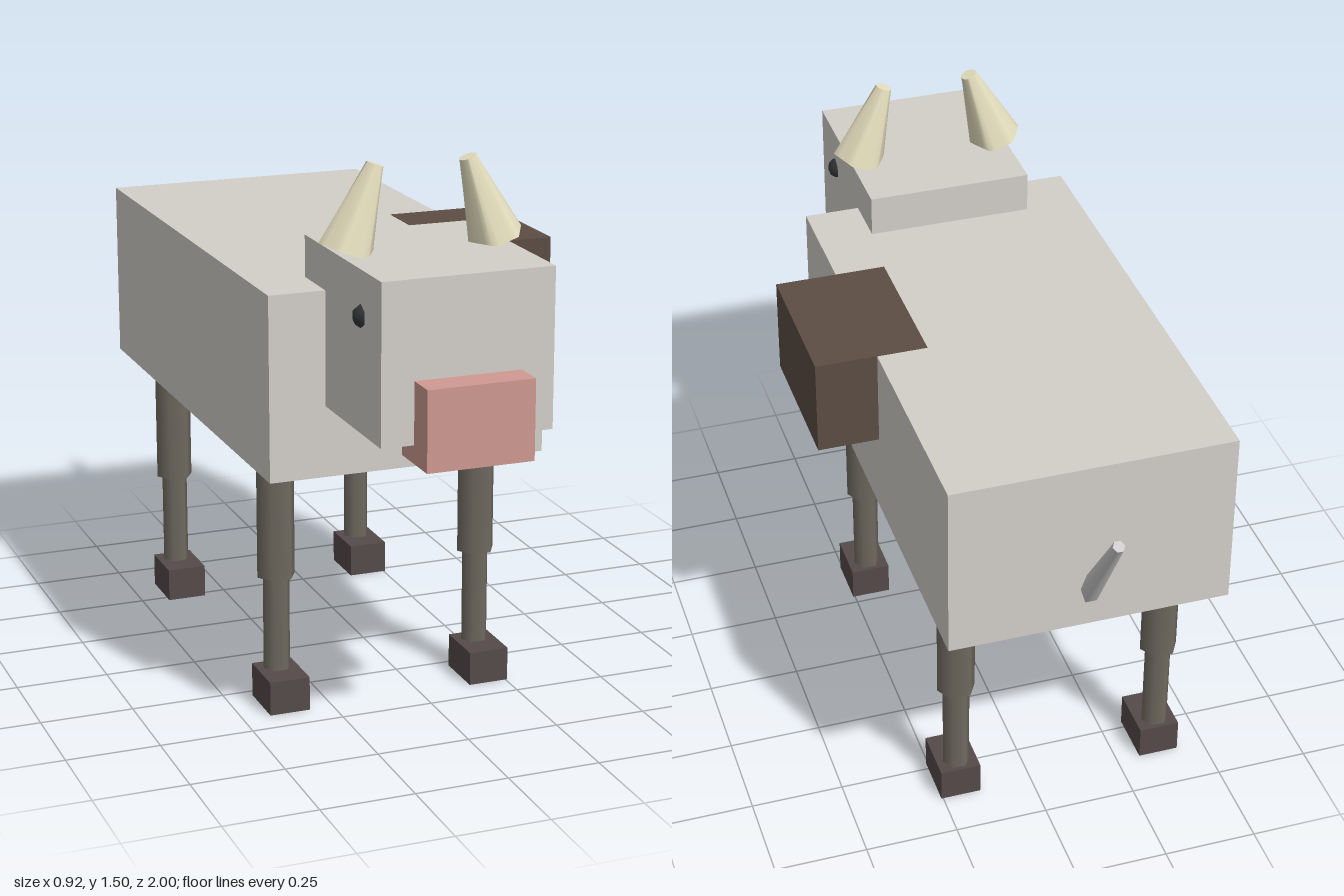
import * as THREE from 'three';

const CX = -0.085; // the animal's mid-plane

const mat = (color) => new THREE.MeshStandardMaterial({ color });

function add(parent, name, geometry, material, x = 0, y = 0, z = 0) {
  const mesh = new THREE.Mesh(geometry, material);
  mesh.name = name;
  mesh.position.set(x, y, z);
  parent.add(mesh);
  return mesh;
}

// Box given by its lower and upper corners
function block(parent, name, material, [x0, y0, z0], [x1, y1, z1]) {
  return add(parent, name, new THREE.BoxGeometry(x1 - x0, y1 - y0, z1 - z0), material,
    (x0 + x1) / 2, (y0 + y1) / 2, (z0 + z1) / 2);
}

// Six-sided post with corners facing sideways, standing on its origin
function post(rTop, rBottom, height) {
  return new THREE.CylinderGeometry(rTop, rBottom, height, 6, 1, false, Math.PI / 6)
    .translate(0, height / 2, 0);
}

// Horn: hexagonal foot blending into a round tip
function hornGeometry(rTip, rBase, height) {
  const g = new THREE.CylinderGeometry(rTip, rBase, height, 24).translate(0, height / 2, 0);
  const p = g.attributes.position;
  for (let i = 0; i < p.count; i++) {
    if (p.getY(i) > height / 2) continue;
    const x = p.getX(i), z = p.getZ(i);
    if (Math.hypot(x, z) < 1e-6) continue;
    const sector = Math.PI / 3;
    const a = (Math.atan2(z, x) + 2 * Math.PI) % sector;
    const k = Math.cos(sector / 2) / Math.cos(a - sector / 2);
    p.setXYZ(i, x * k, p.getY(i), z * k);
  }
  g.computeVertexNormals();
  return g;
}

export function createModel() {
  const model = new THREE.Group();
  model.name = 'cow';

  const hide = mat(0xd3cfc9);
  const patchBrown = mat(0x5c4d44);
  const pink = mat(0xcf9a91);
  const legGrey = mat(0x6f6a60);
  const hoofGrey = mat(0x554a4a);
  const ivory = mat(0xe6dfbf);
  const dark = mat(0x33363a);
  const tailGrey = mat(0xcccccc);

  // Trunk, side patch set into its upper edge, head and muzzle
  block(model, 'body', hide, [-0.46, 0.683, -0.81], [0.29, 1.17, 0.54]);
  block(model, 'sidePatch', patchBrown, [0.155, 0.907, -0.19], [0.455, 1.171, 0.22]);
  block(model, 'head', hide, [-0.31, 0.87, 0.393], [0.14, 1.28, 0.918]);
  block(model, 'muzzle', pink, [-0.225, 0.823, 0.84], [0.055, 1.03, 1.0]);

  // Eyes and horns, mirrored about the mid-plane
  const eyeGeo = new THREE.SphereGeometry(0.034, 6, 5).rotateZ(Math.PI / 2);
  const hornGeo = hornGeometry(0.022, 0.075, 0.225);
  for (const [side, s] of [['left', 1], ['right', -1]]) {
    add(model, side + 'Eye', eyeGeo, dark, CX + s * 0.212, 1.165, 0.783);
    const horn = add(model, side + 'Horn', hornGeo, ivory, CX + s * 0.2, 1.285, 0.615);
    horn.rotation.z = s * 0.35;
  }

  // Legs: thick upper part, thin shank, hoof reaching forward
  const upperGeo = post(0.052, 0.052, 0.333);
  const shankGeo = post(0.037, 0.037, 0.27);
  const hoofGeo = new THREE.BoxGeometry(0.11, 0.092, 0.147);
  for (const [end, z] of [['front', 0.32], ['back', -0.58]]) {
    for (const [side, s] of [['Left', 1], ['Right', -1]]) {
      const leg = new THREE.Group();
      leg.name = end + side + 'Leg';
      leg.position.set(CX + s * 0.285, 0, z);
      add(leg, 'upperLeg', upperGeo, legGrey, 0, 0.35, 0);
      add(leg, 'shank', shankGeo, legGrey, 0, 0.085, 0);
      add(leg, 'hoof', hoofGeo, hoofGrey, 0, 0.046, 0.03);
      model.add(leg);
    }
  }

  // Tail, tapering up and backwards
  const tail = add(model, 'tail', post(0.016, 0.03, 0.349), tailGrey, CX, 0.768, -0.79);
  tail.rotation.x = -0.59;

  return model;
}
